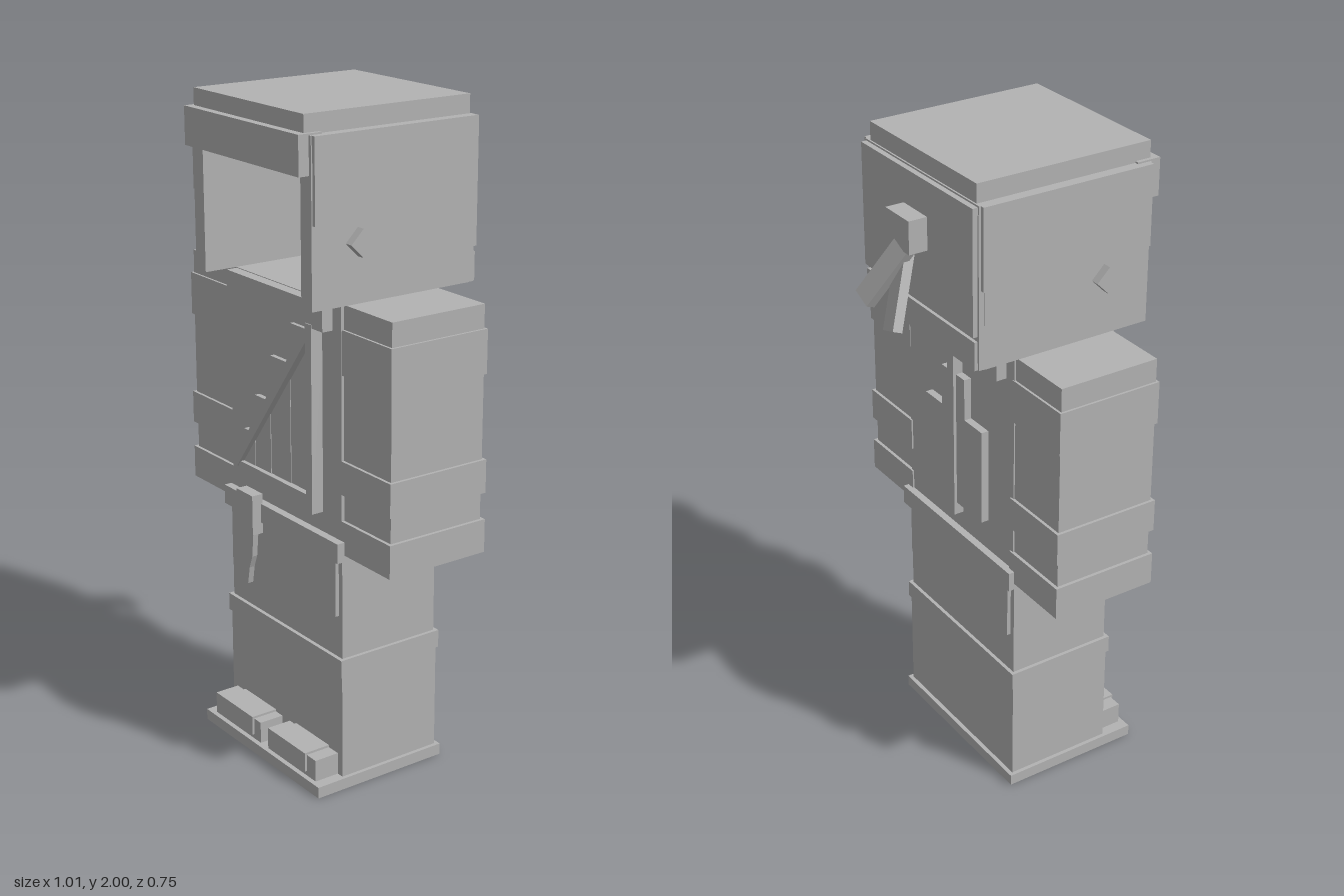
import * as THREE from 'three';

const stone = new THREE.MeshStandardMaterial({ color: 0xb2b2b2 });
stone.name = 'stone grey';

export function createModel() {
  const model = new THREE.Group();
  model.name = 'figure';

  const add = (name, geometry, parent = model) => {
    const mesh = new THREE.Mesh(geometry, stone);
    mesh.name = name;
    parent.add(mesh);
    return mesh;
  };
  // Box given by its limits on each axis
  const box = (name, [x0, x1], [y0, y1], [z0, z1], parent) => {
    const mesh = add(name, new THREE.BoxGeometry(x1 - x0, y1 - y0, z1 - z0), parent);
    mesh.position.set((x0 + x1) / 2, (y0 + y1) / 2, (z0 + z1) / 2);
    return mesh;
  };
  // Box centred on x
  const slab = (name, half, y, z, parent) => box(name, [-half, half], y, z, parent);
  // Box on one side, s = 1 for left and -1 for right
  const sideBox = (name, s, x0, x1, y, z, parent) =>
    box(name, s > 0 ? [x0, x1] : [-x1, -x0], y, z, parent);
  // Flat outline pushed along z
  const plate = (name, points, z0, z1) => {
    const shape = new THREE.Shape(points.map(([x, y]) => new THREE.Vector2(x, y)));
    const mesh = add(name, new THREE.ExtrudeGeometry(shape, { depth: z1 - z0, bevelEnabled: false }));
    mesh.position.z = z0;
    return mesh;
  };

  // Legs, boots and soles
  slab('legs', 0.287, [0.36, 0.74], [-0.095, 0.24]);
  slab('boots', 0.293, [0.03, 0.37], [-0.1, 0.245]);
  slab('bootCuff', 0.298, [0.36, 0.415], [-0.106, 0.252]);
  slab('sole', 0.305, [0, 0.035], [-0.113, 0.34]);
  for (const s of [1, -1]) {
    sideBox('toeCap', s, 0.02, 0.27, [0.035, 0.103], [0.24, 0.325]);
    sideBox('toeRidge', s, 0.055, 0.225, [0.05, 0.11], [0.24, 0.332]);
  }

  // Skirt panels and belt
  slab('frontSkirt', 0.27, [0.545, 0.73], [0.23, 0.252]);
  slab('backSkirt', 0.27, [0.545, 0.73], [-0.107, -0.09]);
  slab('belt', 0.294, [0.72, 0.78], [-0.118, 0.262]);

  // Torso with collars
  slab('torso', 0.28, [0.74, 1.47], [-0.095, 0.237]);
  slab('frontCollar', 0.24, [1.39, 1.468], [0.22, 0.272]);
  slab('backCollar', 0.24, [1.39, 1.468], [-0.127, -0.08]);

  // Arms stacked from alternating narrow and wide bands
  const armBands = [
    ['cuff', 0.74, 0.84, 0.012], ['wrist', 0.84, 0.92, 0.002],
    ['forearmBand', 0.92, 1.02, 0.012], ['sleeve', 1.02, 1.27, 0.003],
    ['upperSleeveBand', 1.27, 1.4, 0.009], ['shoulder', 1.4, 1.47, 0.002],
  ];
  for (const s of [1, -1]) {
    const arm = new THREE.Group();
    arm.name = s > 0 ? 'leftArm' : 'rightArm';
    model.add(arm);
    for (const [name, y0, y1, g] of armBands) {
      sideBox(name, s, 0.28 - g, 0.493 + g, [y0, y1], [-0.088 - g, 0.225 + g], arm);
    }
  }

  // Chest straps forming a triangle
  box('uprightStrap', [0.16, 0.19], [0.84, 1.4], [0.23, 0.275]);
  box('lowerStrap', [-0.2, 0.16], [0.866, 0.888], [0.23, 0.268]);
  plate('diagonalStrap', [[-0.225, 0.89], [-0.205, 0.87], [0.17, 1.36], [0.17, 1.39], [0.15, 1.38]], 0.23, 0.272);

  // Stepped chest plates behind the straps
  const steps = [[-0.19, -0.13, 0.99], [-0.13, -0.05, 1.11], [-0.05, 0.05, 1.25], [0.05, 0.16, 1.37]];
  steps.forEach(([x0, x1, top], i) => {
    box('chestStep', [x0, x1], [0.88, top], [0.23, 0.255 - i * 0.002]);
  });

  // Back strap and stepped pouches
  slab('backStrap', 0.016, [0.84, 1.4], [-0.127, -0.09]);
  for (const s of [1, -1]) {
    sideBox('backPouch', s, 0.016, 0.15, [0.88, 1.18], [-0.118, -0.09]);
    sideBox('backPouchTop', s, 0.016, 0.06, [1.18, 1.31], [-0.118, -0.09]);
  }

  // Sheath hanging from the belt
  box('sheathTop', [-0.18, -0.095], [0.685, 0.81], [0.255, 0.292]);
  plate('sheathBlade', [[-0.178, 0.7], [-0.172, 0.63], [-0.158, 0.56], [-0.157, 0.52],
    [-0.135, 0.515], [-0.125, 0.57], [-0.11, 0.61], [-0.1, 0.7]], 0.268, 0.286);

  // Hollow hood, open at the face and underneath
  const hood = new THREE.Group();
  hood.name = 'hood';
  model.add(hood);
  slab('hoodTop', 0.27, [1.94, 2], [-0.21, 0.35], hood);
  slab('hoodRoof', 0.29, [1.9, 1.945], [-0.215, 0.342], hood);
  slab('hoodBack', 0.29, [1.47, 1.92], [-0.217, -0.18], hood);
  slab('hoodBackPanel', 0.284, [1.57, 1.94], [-0.232, -0.2], hood);
  slab('hoodBackHem', 0.284, [1.47, 1.555], [-0.227, -0.2], hood);
  slab('browBand', 0.282, [1.838, 1.95], [0.3, 0.375], hood);
  for (const s of [1, -1]) {
    sideBox('hoodSide', s, 0.242, 0.292, [1.47, 1.92], [-0.2, 0.342], hood);
    sideBox('hoodSidePanel', s, 0.28, 0.303, [1.705, 1.945], [-0.21, 0.338], hood);
    // Diamond stud
    const stud = add('earStud', new THREE.BoxGeometry(0.04, 0.057, 0.057), hood);
    stud.position.set(s * 0.298, 1.643, 0.19);
    stud.rotation.x = Math.PI / 4;
  }

  // Knot with two hanging tails
  slab('knot', 0.06, [1.74, 1.838], [-0.29, -0.22], hood);
  const tail = (name, from, to, width, thickness) => {
    const a = new THREE.Vector3(...from), b = new THREE.Vector3(...to);
    const up = a.clone().sub(b);
    const length = up.length();
    up.normalize();
    const side = new THREE.Vector3().crossVectors(up, new THREE.Vector3(0, 0, 1)).normalize();
    const out = new THREE.Vector3().crossVectors(side, up);
    const mesh = add(name, new THREE.BoxGeometry(width, length, thickness), hood);
    mesh.quaternion.setFromRotationMatrix(new THREE.Matrix4().makeBasis(side, up, out));
    mesh.position.copy(a).add(b).multiplyScalar(0.5);
  };
  tail('leftTail', [-0.02, 1.765, -0.265], [0.065, 1.58, -0.36], 0.064, 0.03);
  tail('rightTail', [0.015, 1.755, -0.25], [-0.055, 1.525, -0.345], 0.056, 0.03);

  return model;
}
